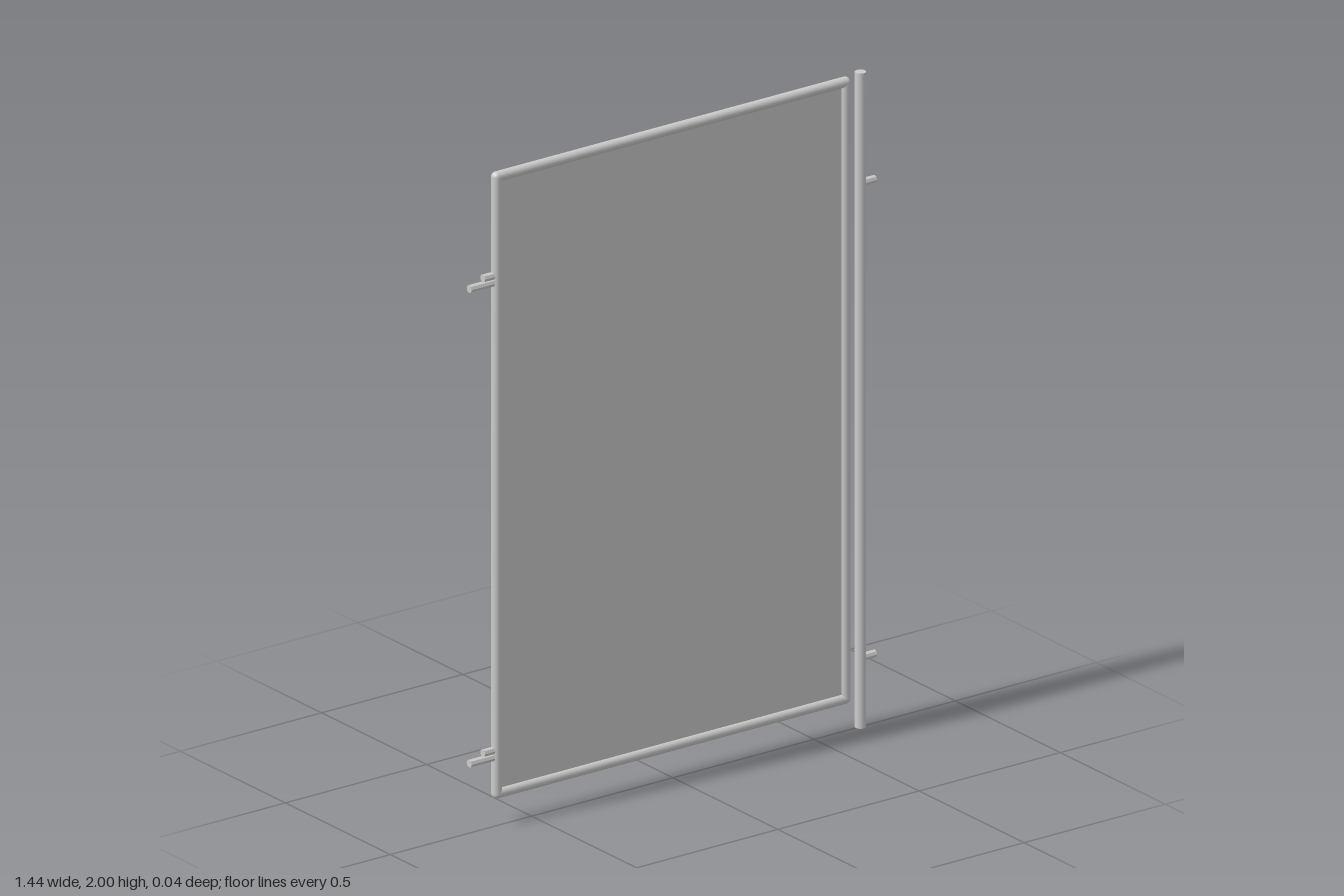
import * as THREE from 'three';

export function createModel() {
  const model = new THREE.Group();
  const smooth = new THREE.MeshStandardMaterial({ color: 0xcccccc });
  const faceted = new THREE.MeshStandardMaterial({ color: 0xcccccc, flatShading: true });

  function add(parent, name, geometry, x, y, z, material = smooth) {
    const mesh = new THREE.Mesh(geometry, material);
    mesh.name = name;
    mesh.position.set(x, y, z);
    parent.add(mesh);
    return mesh;
  }

  // Gate leaf: round tube frame with ball corners around a thin panel
  const r = 0.0155, z = -0.003;
  const left = -0.622, right = 0.612, bottom = 0.098, top = 1.98;
  const midX = (left + right) / 2, midY = (bottom + top) / 2;
  const width = right - left, height = top - bottom;
  const frame = new THREE.Group();
  frame.name = 'gateFrame';
  model.add(frame);
  for (const x of [left, right]) {
    add(frame, 'frameUpright', new THREE.CylinderGeometry(r, r, height, 24, 1, true), x, midY, z);
    for (const y of [bottom, top]) {
      add(frame, 'frameCorner', new THREE.SphereGeometry(r, 24, 16), x, y, z);
    }
  }
  for (const y of [bottom, top]) {
    const rail = new THREE.CylinderGeometry(r, r, width, 24, 1, true).rotateZ(Math.PI / 2);
    add(frame, 'frameRail', rail, midX, y, z);
  }
  add(model, 'panel', new THREE.BoxGeometry(width, height, 0.006), midX, midY, z);

  // Free-standing post beside the gate
  add(model, 'post', new THREE.CylinderGeometry(0.0165, 0.0165, 2, 24), 0.664, 1, 0);

  // Horizontal pins: stacked hinges on one side, post stubs on the other
  function pin(parent, name, x0, x1, y) {
    const geometry = new THREE.CylinderGeometry(0.012, 0.012, x1 - x0, 8).rotateZ(Math.PI / 2);
    add(parent, name, geometry, (x0 + x1) / 2, y, -0.004, faceted);
  }
  for (const y of [0.21, 1.659]) {
    const hinge = new THREE.Group();
    hinge.name = 'hinge';
    model.add(hinge);
    pin(hinge, 'hingePin', -0.718, -0.635, y);
    pin(hinge, 'hingeBracket', -0.67, -0.625, y + 0.021);
    pin(model, 'postStub', 0.67, 0.718, y);
  }

  return model;
}
